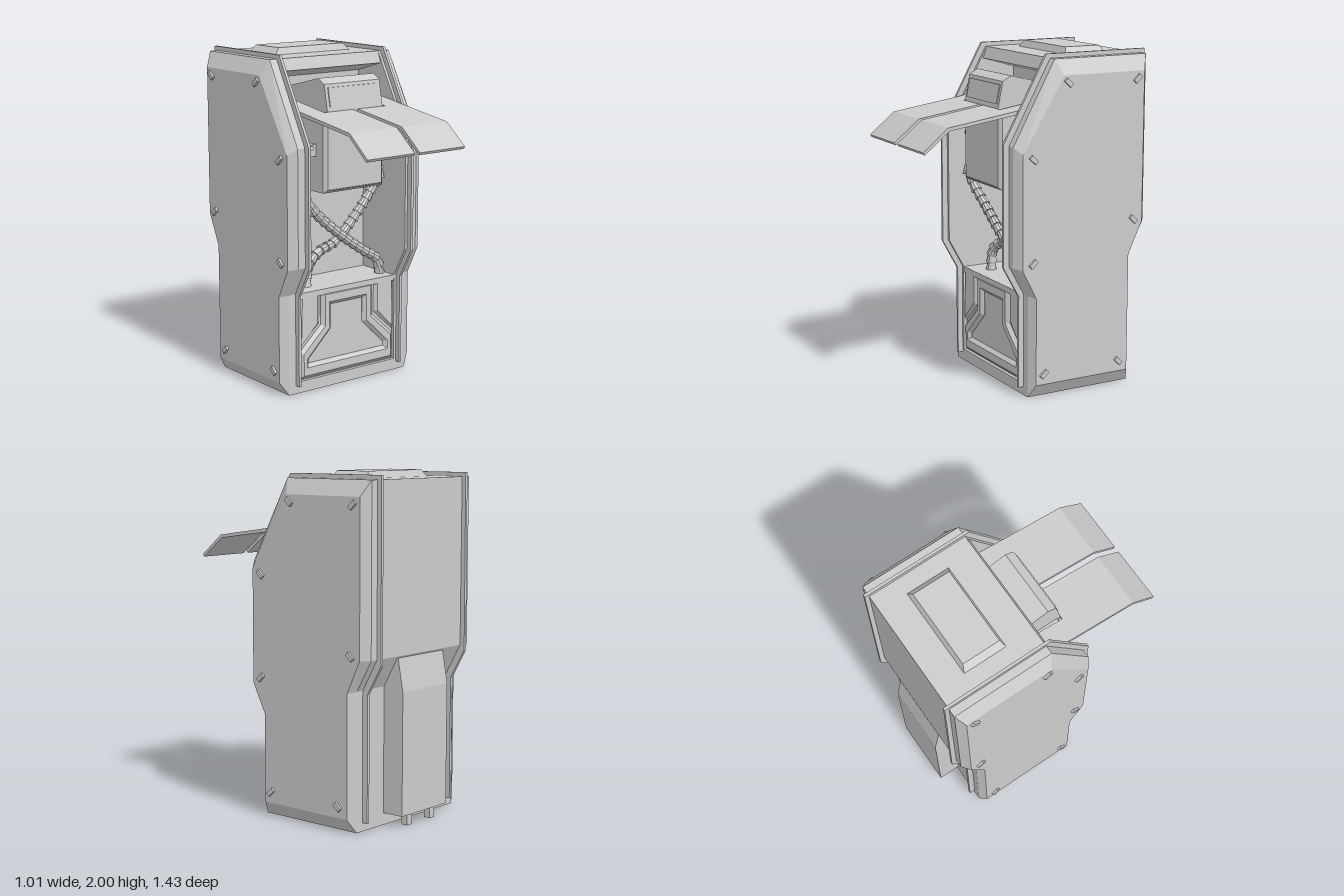
import * as THREE from 'three';

const mat = new THREE.MeshStandardMaterial({ color: 0xcccccc, flatShading: true, side: THREE.DoubleSide });

function add(parent, name, geometry) {
  const mesh = new THREE.Mesh(geometry, mat);
  mesh.name = name;
  parent.add(mesh);
  return mesh;
}

// Side profile given as [z, y] pairs, extruded from x0 to x1
function prism(profile, x0, x1) {
  const shape = new THREE.Shape(profile.map(([z, y]) => new THREE.Vector2(-z, y)));
  const g = new THREE.ExtrudeGeometry(shape, { depth: x1 - x0, bevelEnabled: false });
  return g.rotateY(Math.PI / 2).translate(x0, 0, 0);
}

function box(x0, x1, y0, y1, z0, z1) {
  return new THREE.BoxGeometry(x1 - x0, y1 - y0, z1 - z0)
    .translate((x0 + x1) / 2, (y0 + y1) / 2, (z0 + z1) / 2);
}

// Front-facing plate with chamfered edges, outline given as [x, y] pairs
function plate(outline, z0, z1, bevel, hole) {
  const vec = (pts) => pts.map(([x, y]) => new THREE.Vector2(x, y));
  const shape = new THREE.Shape(vec(outline));
  if (hole) shape.holes.push(new THREE.Path(vec(hole)));
  return new THREE.ExtrudeGeometry(shape, {
    depth: z1 - z0 - 2 * bevel, bevelThickness: bevel, bevelSize: bevel, bevelOffset: -bevel, bevelSegments: 1,
  }).translate(0, 0, z0 + bevel);
}

// Chamfered side shell, open underneath and on its inner face
function sideShell(base, face) {
  const pos = [];
  const rings = [[base, 0.39], [base, 0.44], [face, 0.49]]
    .map(([pts, x]) => pts.map(([z, y]) => [x, y, z]));
  const n = base.length;
  for (let r = 0; r < 2; r++) {
    for (let i = r === 0 ? 1 : 0; i < n; i++) {
      const j = (i + 1) % n, a = rings[r], b = rings[r + 1];
      for (const p of [a[i], a[j], b[j], a[i], b[j], b[i]]) pos.push(...p);
    }
  }
  const flat = face.map(([z, y]) => new THREE.Vector2(-z, y));
  for (const tri of THREE.ShapeUtils.triangulateShape(flat, [])) {
    for (const k of tri) pos.push(...rings[2][k]);
  }
  const g = new THREE.BufferGeometry();
  g.setAttribute('position', new THREE.Float32BufferAttribute(pos, 3));
  g.computeVertexNormals();
  return g;
}

// Ribbed hose: flared sleeves strung along a curve
function hose(parent, name, points) {
  const group = new THREE.Group();
  group.name = name;
  parent.add(group);
  const curve = new THREE.CatmullRomCurve3(points.map((p) => new THREE.Vector3(...p)));
  const count = 20, step = curve.getLength() / count;
  const sleeve = new THREE.CylinderGeometry(0.034, 0.023, step * 1.05, 10);
  const up = new THREE.Vector3(0, 1, 0);
  for (let i = 0; i < count; i++) {
    const t = (i + 0.5) / count;
    const m = add(group, 'hoseSleeve', sleeve);
    m.position.copy(curve.getPointAt(t));
    m.quaternion.setFromUnitVectors(up, curve.getTangentAt(t));
  }
  const collar = add(group, 'hoseCollar', new THREE.CylinderGeometry(0.038, 0.038, 0.025, 12));
  collar.position.copy(curve.getPointAt(0));
  collar.quaternion.setFromUnitVectors(up, curve.getTangentAt(0));
}

export function createModel() {
  const model = new THREE.Group();
  model.name = 'cabinet';

  const base = [[0.103, 0], [-0.58, 0], [-0.58, 0.8], [-0.68, 0.98], [-0.68, 1.96],
    [-0.065, 1.96], [0.2, 1.48], [0.2, 0.785], [0.103, 0.61]];
  const face = [[0.075, 0.08], [-0.55, 0.08], [-0.55, 0.79], [-0.64, 0.98], [-0.64, 1.87],
    [-0.1, 1.87], [0.165, 1.44], [0.165, 0.775], [0.075, 0.6]];
  // Rail and liner leave the lower interior open between two legs
  const rail = [[0.135, 0.05], [0.09, 0.05], [0.09, 0.57], [-0.57, 0.57], [-0.57, 0.05],
    [-0.615, 0.05], [-0.615, 0.78], [-0.71, 0.95], [-0.705, 1.985],
    [-0.04, 1.985], [0.235, 1.49], [0.235, 0.78], [0.135, 0.6]];
  const liner = [base[0], [0.06, 0], [0.06, 0.57], [-0.57, 0.57], [-0.57, 0], ...base.slice(1)];

  // Bolts on the side panels: z, y, tilt direction
  const bolts = [[-0.125, 1.83, -1], [-0.59, 1.825, 1], [0.1, 1.41, -1], [-0.575, 1, -1],
    [0.1, 0.81, 1], [0.025, 0.145, 1], [-0.485, 0.145, -1]];

  // Mirrored parts, built on +x and flipped for the other side
  for (const s of [1, -1]) {
    const side = new THREE.Group();
    side.name = s > 0 ? 'leftSide' : 'rightSide';
    side.scale.x = s;
    model.add(side);
    add(side, 'sidePanel', sideShell(base, face));
    add(side, 'sideRail', prism(rail, 0.374, 0.391));
    add(side, 'sideLiner', prism(liner, 0.357, 0.39));
    for (const [z, y, tilt] of bolts) {
      const b = add(side, 'bolt', new THREE.BoxGeometry(0.025, 0.026, 0.052));
      b.position.set(0.492, y, z);
      b.rotation.x = tilt * 0.75;
    }

    // Bent awning flap with its hinge arm and bracket
    add(side, 'flap', prism([[0.165, 1.664], [0.56, 1.607], [0.715, 1.482], [0.705, 1.467],
      [0.553, 1.588], [0.165, 1.642]], 0.018, 0.355));
    add(side, 'flapArm', prism([[-0.25, 1.725], [0.165, 1.664], [0.165, 1.642], [-0.25, 1.703]], 0.225, 0.355));
    add(side, 'hingeBracket', box(0.22, 0.357, 1.4, 1.47, 0, 0.08));
    add(side, 'hingePin', box(0.255, 0.33, 1.44, 1.465, 0.08, 0.1));

    // Corner panel of the front door
    add(side, 'doorCornerPanel', plate([[0.357, 0.59], [0.21, 0.59], [0.21, 0.395], [0.357, 0.26]], 0.06, 0.1, 0.018));
    add(side, 'backFoot', box(0.083, 0.127, 0, 0.08, -0.69, -0.65));
  }

  // Roof, back wall, recess and shelf in one profile
  add(model, 'bodyCore', prism([[-0.065, 1.96], [-0.68, 1.96], [-0.68, 0.98], [-0.58, 0.8],
    [-0.58, 0], [-0.57, 0], [-0.57, 0.57], [0.1, 0.57], [0.1, 0.605], [-0.2, 0.605],
    [-0.2, 1.19], [0, 1.39], [0, 1.5], [-0.25, 1.6], [-0.25, 1.83], [-0.04, 1.89]], -0.357, 0.357));

  // Raised roof plate
  const roof = add(model, 'roofPlate', new THREE.CylinderGeometry(Math.SQRT1_2 * 0.87, Math.SQRT1_2, 0.04, 4, 1)
    .rotateY(Math.PI / 4));
  roof.scale.set(0.545, 1, 0.265);
  roof.position.set(0, 1.98, -0.373);

  // Rear housing
  add(model, 'rearHousing', prism([[-0.57, 0.07], [-0.715, 0.07], [-0.715, 0.78], [-0.68, 0.97], [-0.57, 0.97]],
    -0.205, 0.205));

  // Front door with a raised stepped panel, over a full-width sill
  add(model, 'doorBack', box(-0.357, 0.357, 0.06, 0.605, 0.06, 0.082));
  add(model, 'doorSill', box(-0.357, 0.357, 0, 0.07, 0.06, 0.103));
  const mirrored = (half) => [...half, ...half.map(([x, y]) => [-x, y]).reverse()];
  add(model, 'doorPanel', plate(mirrored([[0.352, 0.075], [0.352, 0.24], [0.195, 0.385], [0.195, 0.59]]), 0.06, 0.104, 0.021,
    mirrored([[0.285, 0.165], [0.285, 0.19], [0.12, 0.35], [0.12, 0.5]])));

  // Central column with recessed front panel
  add(model, 'column', box(-0.22, 0.22, 1.19, 1.65, -0.22, 0.143));
  const rect = (x, y0, y1) => [[-x, y0], [x, y0], [x, y1], [-x, y1]];
  add(model, 'columnFrame', plate(rect(0.22, 1.19, 1.65), 0.122, 0.165, 0.02, rect(0.168, 1.225, 1.62)));

  // Hooded head above the flaps
  add(model, 'head', prism([[-0.25, 1.64], [0.165, 1.64], [0.165, 1.67], [0.135, 1.82], [0.08, 1.85], [-0.25, 1.77]],
    -0.203, 0.203));
  add(model, 'headPanel', prism([[0.15, 1.69], [0.167, 1.69], [0.145, 1.8], [0.13, 1.8]], -0.182, 0.182));

  // Crossed hoses
  hose(model, 'frontHose', [[-0.26, 1.31, -0.06], [-0.29, 1.3, 0.02], [-0.325, 1.23, 0.08], [-0.28, 1.14, 0.07],
    [-0.175, 1.03, 0.05], [0.01, 0.885, 0.04], [0.165, 0.78, 0.03], [0.29, 0.7, 0.01], [0.325, 0.605, 0]]);
  hose(model, 'rearHose', [[0.285, 1.33, -0.05], [0.31, 1.28, -0.01], [0.315, 1.21, 0], [0.25, 1.1, -0.02],
    [0.125, 0.95, -0.03], [0.01, 0.84, -0.04], [-0.12, 0.795, -0.03], [-0.2, 0.73, -0.02], [-0.225, 0.605, -0.02]]);

  return model;
}
